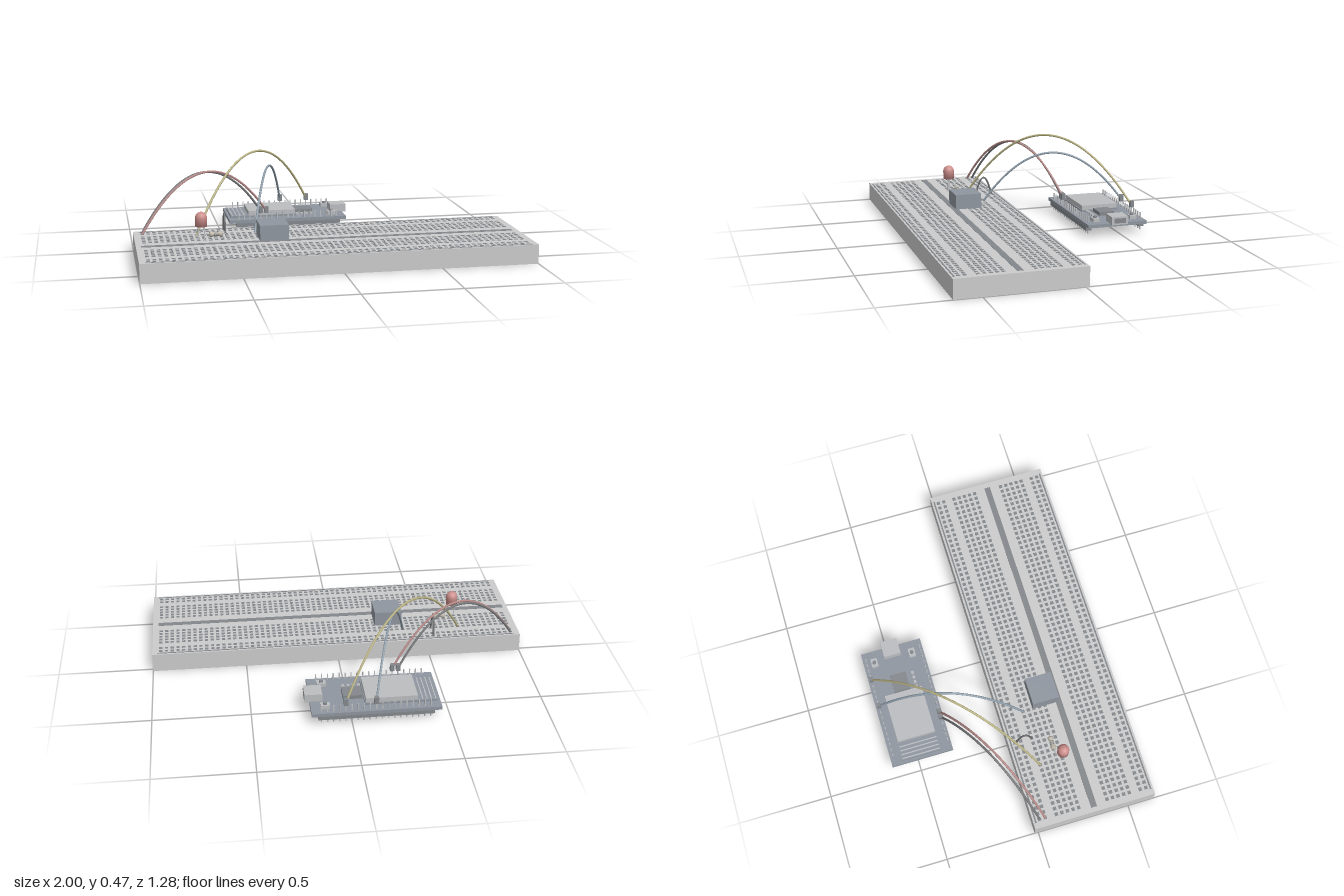
import * as THREE from 'three';
import { mergeGeometries } from 'three/addons/utils/BufferGeometryUtils.js';

const mat = (color) => new THREE.MeshStandardMaterial({ color });
const GREY = mat(0xcccccc);
const DARK = mat(0x84888c);
const SLATE = mat(0x8f969f);
const METAL = mat(0xbbbdc0);
const RED = mat(0xcc8f8c);

// Box geometry from its lower and upper corners
function boxGeo(x0, x1, y0, y1, z0, z1) {
  return new THREE.BoxGeometry(x1 - x0, y1 - y0, z1 - z0)
    .translate((x0 + x1) / 2, (y0 + y1) / 2, (z0 + z1) / 2);
}

function add(parent, name, geo, material) {
  const mesh = new THREE.Mesh(Array.isArray(geo) ? mergeGeometries(geo) : geo, material);
  mesh.name = name;
  parent.add(mesh);
  return mesh;
}

function group(parent, name) {
  const g = new THREE.Group();
  g.name = name;
  parent.add(g);
  return g;
}

const PITCH = 0.0308;

function buildBreadboard(root) {
  const g = group(root, 'breadboard');
  add(g, 'boardBody', boxGeo(-1, 1, 0, 0.1, -0.02, 0.64), GREY);
  add(g, 'centreGroove', boxGeo(-0.975, 0.97, 0.098, 0.101, 0.294, 0.327), DARK);
  add(g, 'railStripes', [-0.006, 0.626].map((z) =>
    boxGeo(-0.97, 0.97, 0.098, 0.101, z - 0.004, z + 0.004)), DARK);

  // Two power rails and two five-row terminal areas, mirrored about the groove
  const offsets = [0.294, 0.262];
  for (let i = 0; i < 5; i++) offsets.push(0.078 + i * PITCH);
  const holes = [];
  for (const d of offsets) for (const s of [-1, 1]) for (let c = -31; c <= 31; c++) {
    const x = c * PITCH, z = 0.31 + s * d;
    holes.push(boxGeo(x - 0.009, x + 0.009, 0.099, 0.101, z - 0.009, z + 0.009));
  }
  add(g, 'contactHoles', holes, DARK);
}

const pinX = (k) => -0.4 + k * PITCH;
const PIN_Z = [-0.323, -0.625];

function buildController(root) {
  const g = group(root, 'controllerBoard');
  add(g, 'circuitBoard', boxGeo(-0.455, 0.205, 0.052, 0.07, -0.643, -0.307), SLATE);

  // Header strips with pins running through the board
  const strips = [], pins = [];
  for (const z of PIN_Z) {
    strips.push(boxGeo(-0.417, 0.171, 0.031, 0.052, z - 0.015, z + 0.015));
    for (let k = 0; k < 19; k++) {
      const x = pinX(k);
      pins.push(boxGeo(x - 0.003, x + 0.003, 0.01, 0.106, z - 0.003, z + 0.003));
    }
  }
  add(g, 'headerStrips', strips, DARK);
  add(g, 'headerPins', pins, METAL);

  // Radio module with shield and antenna traces
  add(g, 'radioModuleBase', boxGeo(-0.44, -0.07, 0.07, 0.08, -0.585, -0.37), SLATE);
  add(g, 'radioShield', boxGeo(-0.34, -0.075, 0.08, 0.105, -0.58, -0.374), METAL);
  add(g, 'antennaTraces', [0, 1, 2, 3].map((i) =>
    boxGeo(-0.434 + i * 0.022, -0.428 + i * 0.022, 0.08, 0.082, -0.58, -0.374)), METAL);

  // Chip, small components, buttons and socket
  add(g, 'serialChip', boxGeo(-0.065, 0.035, 0.07, 0.09, -0.522, -0.435), DARK);
  add(g, 'smallComponents', [0, 1, 2, 3].map((i) =>
    boxGeo(-0.068 + i * 0.0275, -0.052 + i * 0.0275, 0.07, 0.08, -0.407, -0.393)), METAL);
  const cases = [], caps = [];
  for (const z of [-0.584, -0.372]) {
    cases.push(boxGeo(0.108, 0.156, 0.07, 0.09, z - 0.018, z + 0.018));
    caps.push(new THREE.CylinderGeometry(0.01, 0.01, 0.008, 16).translate(0.132, 0.094, z));
  }
  add(g, 'buttonCases', cases, METAL);
  add(g, 'buttonCaps', caps, DARK);
  add(g, 'usbSocket', boxGeo(0.14, 0.23, 0.066, 0.11, -0.525, -0.432), METAL);
  add(g, 'usbOpening', boxGeo(0.228, 0.232, 0.075, 0.101, -0.512, -0.445), DARK);
}

// Arched wire: a quadratic curve whose top is at height peak
function wire(parent, name, a, b, peak, r, material) {
  const start = new THREE.Vector3(...a), end = new THREE.Vector3(...b);
  const mid = start.clone().lerp(end, 0.5);
  mid.y = 2 * peak - mid.y;
  const curve = new THREE.QuadraticBezierCurve3(start, mid, end);
  add(parent, name, new THREE.TubeGeometry(curve, 48, r, 8), material);
}

function buildWires(root) {
  const g = group(root, 'jumperWires');
  // [start x, start z, pin index, pin row, peak, colour]
  const runs = [
    [-0.678, 0.11, 14, 1, 0.464, 0xb9b283],
    [-0.37, 0.11, 9, 1, 0.379, 0x8f9fac],
    [-0.955, 0.048, 5, 0, 0.383, 0xb58a88],
    [-0.955, 0.018, 4, 0, 0.379, 0x77787a],
  ];
  for (const [x, z, k, row, peak, color] of runs) {
    const px = pinX(k), pz = PIN_Z[row];
    wire(g, 'longWire', [x, 0.098, z], [px, 0.115, pz], peak, 0.006, mat(color));
    add(g, 'wirePlug', boxGeo(px - 0.011, px + 0.011, 0.104, 0.14, pz - 0.011, pz + 0.011), DARK);
  }
  wire(g, 'shortWire', [-0.527, 0.098, 0.11], [-0.527, 0.098, 0.018], 0.197, 0.005, mat(0x6c6d6f));
}

function buildComponents(root) {
  // Domed lamp on two legs
  const led = group(root, 'indicatorLamp');
  const profile = [new THREE.Vector2(0, 0.175), new THREE.Vector2(0.031, 0.175)];
  for (let i = 0; i <= 8; i++) {
    const t = (i / 8) * Math.PI / 2;
    profile.push(new THREE.Vector2(0.031 * Math.cos(t), 0.219 + 0.031 * Math.sin(t)));
  }
  add(led, 'lampDome', new THREE.LatheGeometry(profile, 24).translate(-0.664, 0, 0.235), RED);
  add(led, 'lampLegs', [-0.679, -0.648].map((x) =>
    boxGeo(x - 0.003, x + 0.003, 0.095, 0.178, 0.232, 0.238)), METAL);

  // Resistor with swollen ends, bands and bent leads
  const res = group(root, 'resistor');
  const body = [[0, -0.034], [0.013, -0.034], [0.015, -0.028], [0.015, -0.02], [0.011, -0.014],
    [0.011, 0.014], [0.015, 0.02], [0.015, 0.028], [0.013, 0.034], [0, 0.034]]
    .map(([r, y]) => new THREE.Vector2(r, y));
  const place = (geo, dx = 0) => geo.rotateZ(-Math.PI / 2).translate(-0.586 + dx, 0.123, 0.202);
  add(res, 'resistorBody', place(new THREE.LatheGeometry(body, 16)), mat(0xbfb9aa));
  add(res, 'resistorBands', [-0.009, 0, 0.009].map((dx) =>
    place(new THREE.CylinderGeometry(0.0117, 0.0117, 0.004, 16), dx)), DARK);
  const lead = new THREE.CurvePath();
  const pts = [[-0.648, 0.096], [-0.645, 0.115], [-0.635, 0.123], [-0.54, 0.123], [-0.53, 0.115], [-0.527, 0.096]]
    .map(([x, y]) => new THREE.Vector3(x, y, 0.202));
  for (let i = 0; i < pts.length - 1; i++) lead.add(new THREE.LineCurve3(pts[i], pts[i + 1]));
  add(res, 'resistorLeads', new THREE.TubeGeometry(lead, 40, 0.003, 6), METAL);

  add(root, 'sensorBlock', boxGeo(-0.371, -0.222, 0.098, 0.18, 0.163, 0.307), SLATE);
}

export function createModel() {
  const root = new THREE.Group();
  root.name = 'prototypingBoard';
  buildBreadboard(root);
  buildController(root);
  buildWires(root);
  buildComponents(root);
  return root;
}
